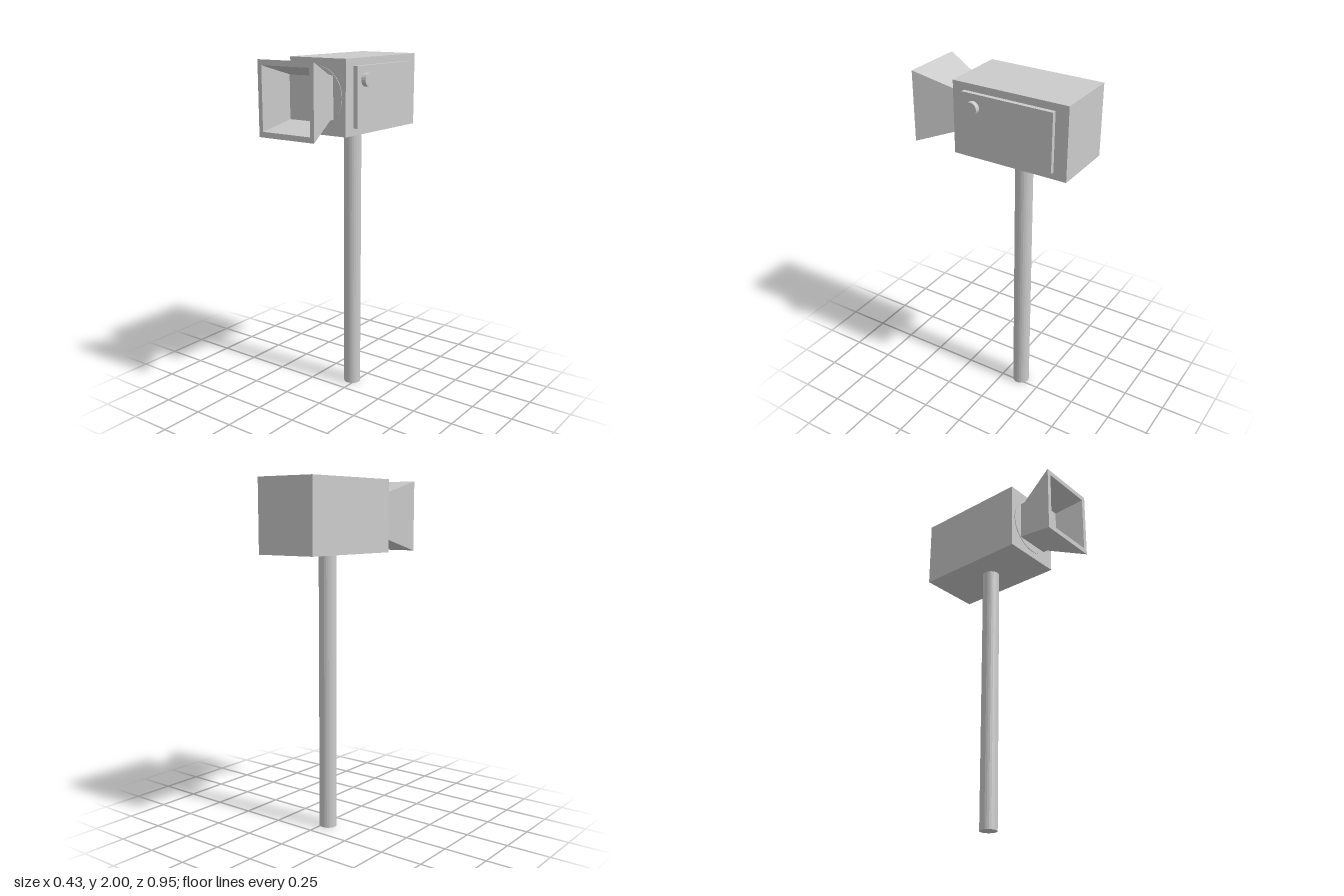
import * as THREE from 'three';

const material = new THREE.MeshStandardMaterial({ color: 0xcccccc, flatShading: true });
const CX = -0.027; // centre line of the housing, hood and pole
const CY = 1.795;

function add(group, name, geometry, x, y, z) {
  const mesh = new THREE.Mesh(geometry, material);
  mesh.name = name;
  mesh.position.set(x, y, z);
  group.add(mesh);
  return mesh;
}

// Rectangular loft along z: rings of [z, halfWidth, halfHeight], last ring capped
function rectLoft(rings) {
  const corners = [[-1, -1], [1, -1], [1, 1], [-1, 1]];
  const positions = [];
  const point = (ring, c) => [corners[c][0] * ring[1], corners[c][1] * ring[2], ring[0]];
  for (let i = 0; i < rings.length - 1; i++) {
    for (let c = 0; c < 4; c++) {
      const n = (c + 1) % 4;
      const a = point(rings[i], c), b = point(rings[i], n);
      const d = point(rings[i + 1], n), e = point(rings[i + 1], c);
      positions.push(...a, ...b, ...d, ...a, ...d, ...e);
    }
  }
  const [p, q, r, s] = [0, 1, 2, 3].map((c) => point(rings[rings.length - 1], c));
  positions.push(...p, ...q, ...r, ...p, ...r, ...s);
  const geometry = new THREE.BufferGeometry();
  geometry.setAttribute('position', new THREE.Float32BufferAttribute(positions, 3));
  geometry.computeVertexNormals();
  return geometry;
}

export function createModel() {
  const model = new THREE.Group();
  model.name = 'cameraOnPole';

  // Support pole
  add(model, 'pole', new THREE.CylinderGeometry(0.05, 0.05, 1.59, 24), CX, 0.795, -0.12);

  // Housing box
  add(model, 'housing', new THREE.BoxGeometry(0.375, 0.41, 0.68), CX, CY, -0.135);

  // Side door with its round knob
  add(model, 'sideDoor', new THREE.BoxGeometry(0.026, 0.33, 0.535), 0.173, CY, -0.133);
  const knob = add(model, 'doorKnob', new THREE.CylinderGeometry(0.037, 0.037, 0.028, 16), 0.2, 1.886, 0.064);
  knob.rotation.z = Math.PI / 2;

  // Thin lens mount disc on the front face
  const mount = add(model, 'lensMount', new THREE.CylinderGeometry(0.165, 0.165, 0.005, 32), CX, CY, 0.206);
  mount.rotation.x = Math.PI / 2;

  // Lens hood: neck, outer flare, rim, then the tapered recess and its floor
  add(model, 'lensHood', rectLoft([
    [0.2, 0.108, 0.117],
    [0.235, 0.108, 0.117],
    [0.472, 0.185, 0.203],
    [0.472, 0.159, 0.173],
    [0.309, 0.106, 0.119],
  ]), CX, CY, 0);

  return model;
}
